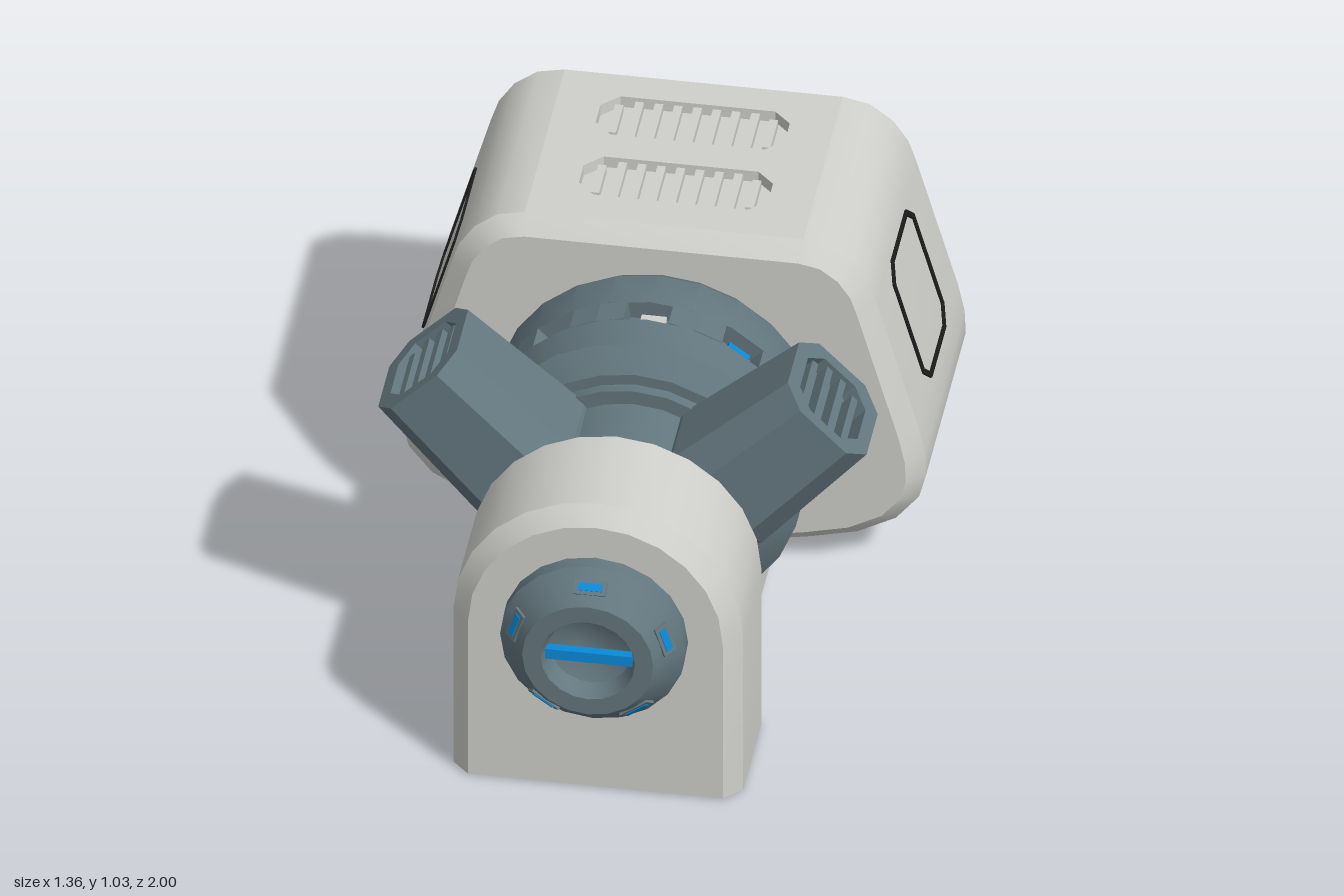
import * as THREE from 'three';
import { toCreasedNormals } from 'three/addons/utils/BufferGeometryUtils.js';

const material = (name, color) => {
  const m = new THREE.MeshStandardMaterial({ color });
  m.name = name;
  return m;
};
const AXIS = 0.49; // height of the turning axis

export function createModel() {
  const grey = material('light grey', 0xcfcfcb);
  const slate = material('slate', 0x64777f);
  const blue = material('blue', 0x0a8ad8);
  const black = material('black', 0x1c1c1c);
  const model = new THREE.Group();

  const add = (name, geometry, mat, parent = model) => {
    const mesh = new THREE.Mesh(geometry, mat);
    mesh.name = name;
    parent.add(mesh);
    return mesh;
  };
  const vec = ([x, y]) => new THREE.Vector2(x, y);
  const smooth = (g) => toCreasedNormals(g, 0.6);
  const extrude = (shape, depth, z = 0) =>
    new THREE.ExtrudeGeometry(shape, { depth, bevelEnabled: false }).translate(0, 0, z);
  // chamfered extrusion that fills z0..z1 and keeps the outline size
  const chamfered = (shape, z0, z1, c = 0.045) =>
    new THREE.ExtrudeGeometry(shape, {
      depth: z1 - z0 - 2 * c, bevelSegments: 1, bevelSize: c, bevelThickness: c, bevelOffset: -c,
    }).translate(0, 0, z0 + c);
  // rectangle with cut corners
  const octagon = (w, h, c, x = 0, y = 0) => {
    const a = w / 2, b = h / 2;
    return [[a, c - b], [a, b - c], [a - c, b], [c - a, b], [-a, b - c], [-a, c - b], [c - a, -b], [a - c, -b]]
      .map(([u, v]) => new THREE.Vector2(u + x, v + y));
  };
  // turned part around the z axis, profile given as [radius, z]
  const turned = (profile, segments = 24) => {
    const g = new THREE.LatheGeometry(profile.map(vec), segments).rotateX(Math.PI / 2);
    return smooth(g.translate(0, AXIS, 0));
  };
  const aroundAxis = (name, angle) => {
    const g = new THREE.Group();
    g.name = name;
    g.position.y = AXIS;
    g.rotation.z = angle;
    model.add(g);
    return g;
  };

  // rear housing: rounded, wider at the bottom, with the top face left open
  const half = [[0.2, 0.025], [0.38, 0.06], [0.5, 0.09], [0.6, 0.145], [0.66, 0.22], [0.678, 0.29], [0.675, 0.36],
    [0.658, 0.44], [0.55, 0.82], [0.53, 0.88], [0.49, 0.94], [0.43, 0.985], [0.36, 1]];
  const outline = [...half, ...half.map(([x, y]) => [-x, y]).reverse()];
  const body = chamfered(new THREE.Shape(outline.map(vec)), -0.86, -0.15);
  const p = body.attributes.position, kept = [];
  for (let i = 0; i < p.count; i += 3) {
    if (Math.min(p.getY(i), p.getY(i + 1), p.getY(i + 2)) > 0.999) continue;
    for (let k = i; k < i + 3; k++) kept.push(p.getX(k), p.getY(k), p.getZ(k));
  }
  const shell = new THREE.BufferGeometry();
  shell.setAttribute('position', new THREE.Float32BufferAttribute(kept, 3));
  add('rearHousing', smooth(shell), grey);

  // housing top with two slatted vents
  const top = new THREE.Shape([[-0.36, 0.195], [0.36, 0.195], [0.36, 0.815], [-0.36, 0.815]].map(vec));
  const vents = [0.38, 0.642];
  for (const z of vents) top.holes.push(new THREE.Path(octagon(0.49, 0.165, 0.045, 0, z)));
  add('housingTop', extrude(top, 0.035).rotateX(-Math.PI / 2).translate(0, 0.965, 0), grey);
  for (const z of vents) {
    add('ventFloor', new THREE.BoxGeometry(0.5, 0.01, 0.17), grey).position.set(0, 0.962, -z);
    for (let i = -4; i <= 4; i++) {
      add('ventSlat', new THREE.BoxGeometry(0.022, 0.024, i * i === 16 ? 0.12 : 0.16), grey)
        .position.set(i * 0.05, 0.978, -z);
    }
  }

  // outlined hatch on each sloping side of the housing
  const hatch = new THREE.Shape(octagon(0.31, 0.375, 0.045));
  hatch.holes.push(new THREE.Path(octagon(0.284, 0.349, 0.04)));
  for (const s of [1, -1]) {
    const m = new THREE.Matrix4().makeBasis(
      new THREE.Vector3(0, 0, -s),
      new THREE.Vector3(-s * 0.273, 0.962, 0),
      new THREE.Vector3(s * 0.962, 0.273, 0));
    add('hatchOutline', extrude(hatch, 0.006).applyMatrix4(m).translate(s * 0.604, 0.63, -0.505), black);
  }

  // base rail joining the housing and the front bracket
  const rail = [[-0.25, 0], [0.25, 0], [0.29, 0.03], [0.29, 0.12], [0.25, 0.15], [-0.25, 0.15], [-0.29, 0.12], [-0.29, 0.03]];
  add('baseRail', extrude(new THREE.Shape(rail.map(vec)), 1.34, -0.81), grey);

  // arched front bracket, chamfered except along its foot
  const arch = new THREE.Shape();
  arch.moveTo(-0.375, -0.05).lineTo(0.375, -0.05).lineTo(0.375, AXIS);
  for (let i = 1; i <= 12; i++) {
    const a = (i / 12) * Math.PI;
    arch.lineTo(0.375 * Math.cos(a), AXIS + 0.38 * Math.sin(a));
  }
  const bracket = chamfered(arch, 0.5, 0.88);
  const bp = bracket.attributes.position;
  for (let i = 0; i < bp.count; i++) bp.setY(i, Math.max(bp.getY(i), 0.005));
  bracket.deleteAttribute('uv');
  bracket.deleteAttribute('normal');
  add('frontBracket', smooth(bracket), grey);

  // nose ring with a dished centre, a blue bar and five lights
  add('noseRing', turned([[0.24, 0.87], [0.24, 0.92], [0.17, 1], [0.122, 1], [0.105, 0.95], [0.04, 0.92], [0, 0.92]], 20), slate);
  add('noseBar', new THREE.BoxGeometry(0.225, 0.03, 0.025), blue).position.set(0, AXIS, 0.975);
  for (let i = 0; i < 5; i++) {
    const light = new THREE.Group();
    light.position.set(0, 0.203, 0.96);
    light.rotation.x = -Math.atan2(0.08, 0.07);
    aroundAxis('noseLight', (i * Math.PI * 2) / 5).add(light);
    add('lightFrame', new THREE.BoxGeometry(0.085, 0.04, 0.008), slate, light);
    add('lightLens', new THREE.BoxGeometry(0.062, 0.02, 0.009), blue, light).position.z = 0.002;
  }

  // middle drum: two bands with a notched ring between them
  add('drumRear', turned([[0.38, -0.16], [0.42, -0.1], [0.42, 0.015], [0.3, 0.015]]), slate);
  add('drumFront', turned([[0.3, 0.09], [0.42, 0.09], [0.42, 0.2], [0.36, 0.25], [0.33, 0.25], [0.33, 0.28],
    [0.29, 0.28], [0.29, 0.52]]), slate);
  const notched = new THREE.Shape();
  const polar = (r, deg) => vec([r * Math.cos((deg * Math.PI) / 180), r * Math.sin((deg * Math.PI) / 180)]);
  const ringPoints = [];
  for (let i = 0; i < 10; i++) {
    const a = 90 + i * 36;
    ringPoints.push(polar(0.37, a - 8), polar(0.37, a + 8), polar(0.42, a + 8), polar(0.42, a + 18), polar(0.42, a + 28));
  }
  notched.setFromPoints(ringPoints);
  add('notchedRing', extrude(notched, 0.075, 0.015).translate(0, AXIS, 0), slate);
  for (let i = 0; i < 10; i++) {
    const slot = aroundAxis('drumSlot', (i * Math.PI) / 5);
    add('slotLight', new THREE.BoxGeometry(0.065, 0.02, 0.07), i === 0 ? grey : blue, slot)
      .position.set(0.01, 0.37, 0.052);
  }

  // two raised arms with slatted openings, built from the tip inwards
  const tip = octagon(0.288, 0.295, 0.06);
  const section = (d0, d1, s0, s1, hole) => {
    const shape = new THREE.Shape(tip);
    if (hole) shape.holes.push(new THREE.Path(hole));
    const g = extrude(shape, d1 - d0, d0), q = g.attributes.position;
    for (let i = 0; i < q.count; i++) {
      const s = s0 + ((s1 - s0) * (q.getZ(i) - d0)) / (d1 - d0);
      q.setXY(i, q.getX(i) * s, q.getY(i) * s);
    }
    g.computeVertexNormals();
    return g;
  };
  for (const s of [1, -1]) {
    const arm = new THREE.Group(), c = Math.SQRT1_2;
    arm.name = s > 0 ? 'leftArm' : 'rightArm';
    arm.applyMatrix4(new THREE.Matrix4().makeBasis(
      new THREE.Vector3(c, -s * c, 0), new THREE.Vector3(0, 0, 1), new THREE.Vector3(-s * c, -c, 0)));
    arm.position.set(s * 0.53, 0.9275, 0.37);
    model.add(arm);
    add('armTip', section(0, 0.05, 1, 1.02, octagon(0.21, 0.225, 0.05)), slate, arm);
    add('armBody', section(0.05, 0.4, 1.02, 1.16), slate, arm);
    add('armRoot', section(0.4, 0.62, 1.16, 0.8), slate, arm);
    for (let i = -1.5; i <= 1.5; i++) {
      add('armSlat', new THREE.BoxGeometry(0.02, Math.abs(i) > 1 ? 0.18 : 0.225, 0.04), slate, arm)
        .position.set(i * 0.048, 0, 0.032);
    }
  }

  // rear port: dished ring, spoked wheel and blue lights at the rim
  add('rearRing', turned([[0, -0.89], [0.25, -0.89], [0.29, -1], [0.35, -1], [0.4, -0.94], [0.4, -0.85]]), slate);
  add('rearHub', turned([[0.05, -0.89], [0.05, -0.98], [0.08, -0.98], [0.095, -0.89]], 16), slate);
  const spoke = new THREE.Shape([[-0.045, 0.07], [0.045, 0.07], [0.02, 0.16], [0.02, 0.28], [-0.02, 0.28], [-0.02, 0.16]].map(vec));
  for (let i = 0; i < 6; i++) {
    const spokeGroup = aroundAxis('rearSpoke', (i * Math.PI) / 3);
    add('spoke', extrude(spoke, 0.08, -0.965), slate, spokeGroup);
    const arc = new THREE.Shape();
    arc.absarc(0, 0, 0.262, Math.PI * 0.56, Math.PI * 0.77, false);
    arc.absarc(0, 0, 0.225, Math.PI * 0.77, Math.PI * 0.56, true);
    add('rimLight', extrude(arc, 0.03, -0.915), blue, spokeGroup);
  }
  return model;
}
